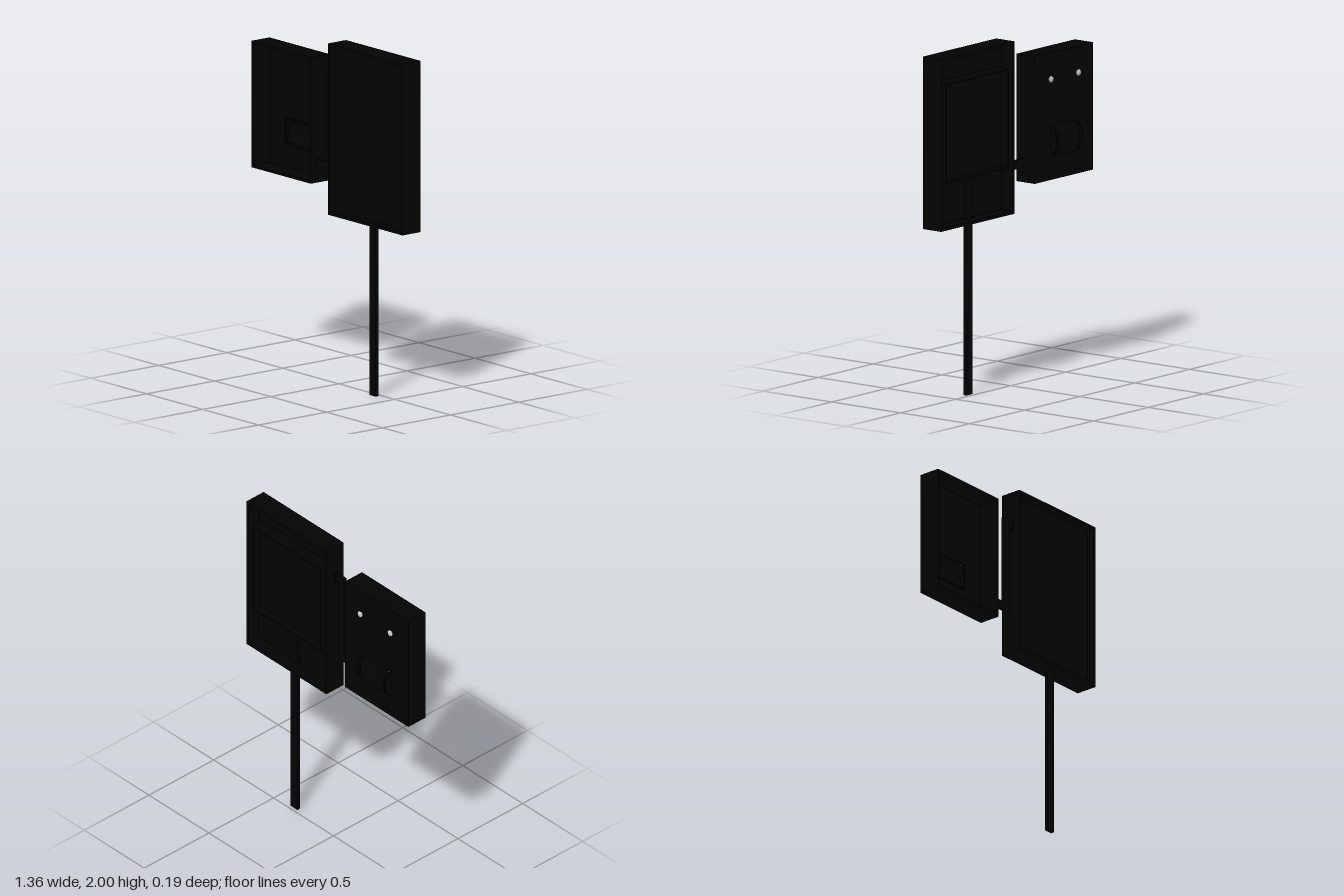
import * as THREE from 'three';

const dark = new THREE.MeshStandardMaterial({ color: 0x030303 });
const grey = new THREE.MeshStandardMaterial({ color: 0xcccccc });

function add(parent, name, geometry, material = dark) {
  const mesh = new THREE.Mesh(geometry, material);
  mesh.name = name;
  parent.add(mesh);
  return mesh;
}

// Box given by its limits on each axis
function box(parent, name, x0, x1, y0, y1, z0, z1) {
  const mesh = add(parent, name, new THREE.BoxGeometry(x1 - x0, y1 - y0, z1 - z0));
  mesh.position.set((x0 + x1) / 2, (y0 + y1) / 2, (z0 + z1) / 2);
  return mesh;
}

function rect(target, x0, x1, y0, y1) {
  target.moveTo(x0, y0);
  target.lineTo(x1, y0);
  target.lineTo(x1, y1);
  target.lineTo(x0, y1);
  target.closePath();
  return target;
}

// Rectangular plate with a rectangular opening
function frame(parent, name, outer, inner, z0, z1) {
  const shape = rect(new THREE.Shape(), ...outer);
  shape.holes.push(rect(new THREE.Path(), ...inner));
  const geometry = new THREE.ExtrudeGeometry(shape, { depth: z1 - z0, bevelEnabled: false });
  geometry.translate(0, 0, z0);
  return add(parent, name, geometry);
}

// Part of a disc bulging backwards past z = -0.05, extruded along x; a wall makes it a shell
function bulge(parent, name, x0, x1, r, wall = 0) {
  const half = Math.acos(0.07 / r);
  const shape = new THREE.Shape();
  shape.absarc(0, 0, r, -half, half, false);
  if (wall) shape.absarc(0, 0, r - wall, half, -half, true);
  shape.closePath();
  const geometry = new THREE.ExtrudeGeometry(shape, { depth: x1 - x0, bevelEnabled: false, curveSegments: 20 });
  geometry.rotateY(Math.PI / 2);
  geometry.translate(x0, 1.375, 0.02);
  return add(parent, name, geometry);
}

export function createModel() {
  const model = new THREE.Group();

  // Large housing: thin walls round a middle panel, open to the front and back
  const large = new THREE.Group();
  large.name = 'largeHousing';
  model.add(large);
  const inside = [0.034, 0.664, 1.02, 1.982];
  frame(large, 'largeCaseWalls', [0.016, 0.682, 1.002, 2.0], inside, -0.04, 0.092);
  box(large, 'middlePanel', ...inside, 0.04, 0.048);

  // Open equipment tray on the back of the middle panel
  frame(large, 'equipmentTrayWalls', [0.06, 0.637, 1.27, 1.85], [0.07, 0.627, 1.28, 1.84], -0.037, 0.04);
  box(large, 'equipmentTrayFloor', 0.07, 0.627, 1.28, 1.84, 0.01, 0.04);

  // Post reaching up into the case
  box(model, 'post', 0.322, 0.378, 0, 1.27, 0.02, 0.04);

  // Stepped arm joining the two housings
  const arm = new THREE.Group();
  arm.name = 'arm';
  model.add(arm);
  box(arm, 'armLower', -0.16, -0.062, 1.235, 1.287, 0.026, 0.043);
  box(arm, 'armUpright', -0.062, -0.011, 1.235, 1.817, 0.026, 0.043);
  box(arm, 'armUpper', -0.011, 0.02, 1.765, 1.817, 0.026, 0.043);
  box(arm, 'armFlange', 0.008, 0.018, 1.758, 1.824, 0.02, 0.049);

  // Small housing: a tray open at the front
  const small = new THREE.Group();
  small.name = 'smallHousing';
  model.add(small);
  const tray = [-0.667, -0.167, 1.165, 1.872];
  frame(small, 'smallCaseWalls', [-0.682, -0.152, 1.15, 1.887], tray, -0.052, 0.08);
  frame(small, 'smallCaseBack', tray, [-0.531, -0.305, 1.292, 1.458], -0.052, -0.042);

  // Rounded hollow cover behind the tray, with a raised middle and two thin fins
  const middle = -0.418;
  bulge(small, 'roundedCover', middle - 0.117, middle + 0.117, 0.1, 0.006);
  bulge(small, 'raisedCover', middle - 0.094, middle + 0.094, 0.115, 0.016);
  for (const side of [-1, 1]) {
    const fin = middle + side * 0.115;
    bulge(small, 'coverFin', fin - 0.005, fin + 0.005, 0.115);

    // Domed knobs above the cover
    const x = -0.415 + side * 0.125;
    const stem = add(small, 'knobStem', new THREE.CylinderGeometry(0.012, 0.012, 0.012, 20), grey);
    stem.rotation.x = Math.PI / 2;
    stem.position.set(x, 1.735, -0.054);
    const knob = add(small, 'knob', new THREE.SphereGeometry(0.02, 24, 14), grey);
    knob.scale.z = 0.5;
    knob.position.set(x, 1.735, -0.062);
  }

  return model;
}
